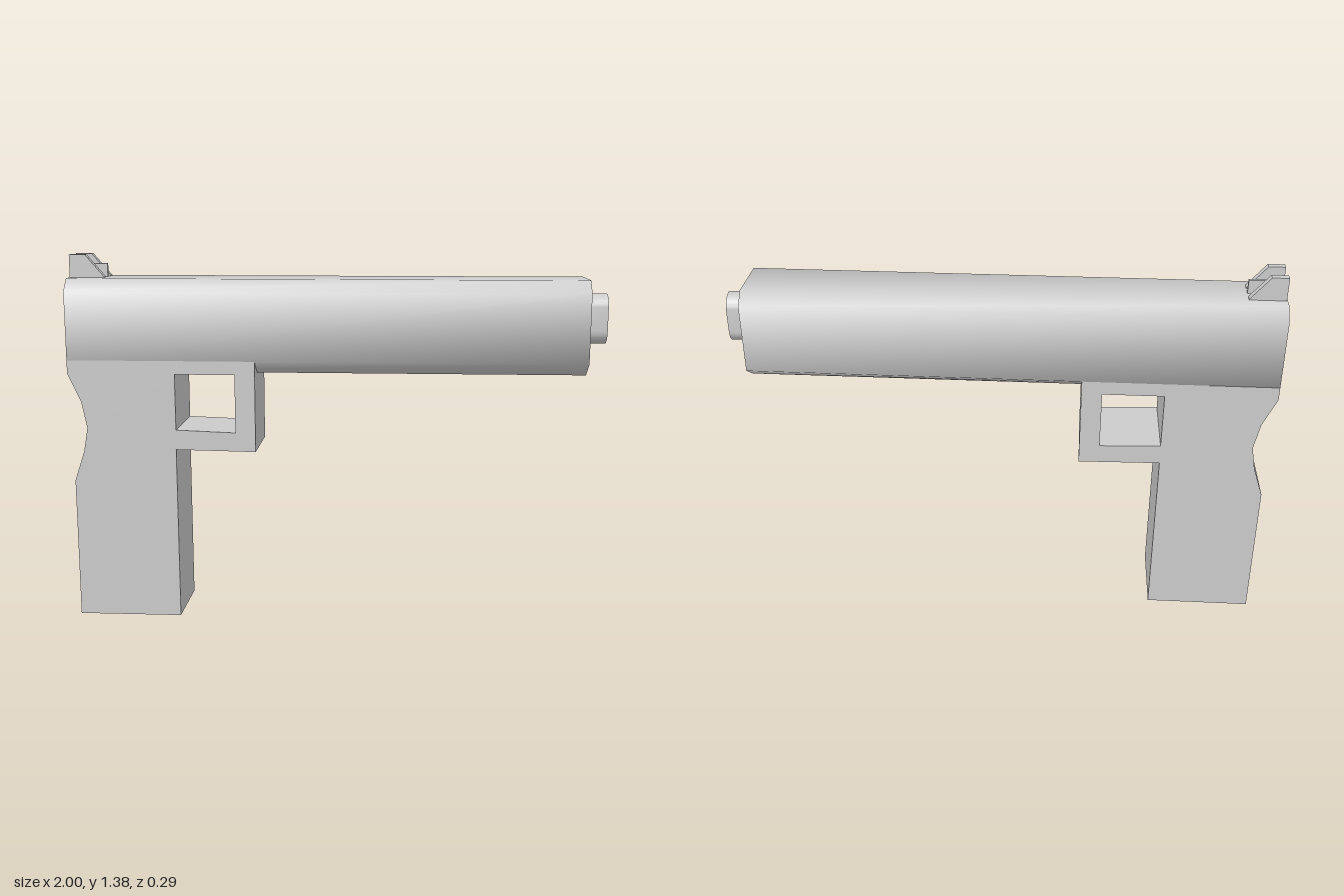
import * as THREE from 'three';
import { toCreasedNormals } from 'three/addons/utils/BufferGeometryUtils.js';

const material = new THREE.MeshStandardMaterial({ color: 0xcccccc, side: THREE.DoubleSide });
const HALF = 0.143;

const outline = (pts) => new THREE.Shape(pts.map(([a, b]) => new THREE.Vector2(a, b)));

function extrude(shape, depth) {
  return new THREE.ExtrudeGeometry(shape, { depth, bevelEnabled: false, curveSegments: 12 });
}

function addMesh(group, name, geometry, crease = 1.0) {
  const mesh = new THREE.Mesh(toCreasedNormals(geometry, crease), material);
  mesh.name = name;
  group.add(mesh);
}

// Side profile (x, y) given thickness across z
function sidePlate(shape, zMin, zMax) {
  return extrude(shape, zMax - zMin).translate(0, 0, zMin);
}

// Cross-section (z, y) swept along x
function sweepX(shape, xMin, xMax) {
  return extrude(shape, xMax - xMin).rotateY(Math.PI / 2).translate(xMin, 0, 0);
}

// Upright slot outline with round ends
function slot(path, r, yLow, yHigh) {
  path.moveTo(r, yLow + r);
  path.lineTo(r, yHigh - r);
  path.absarc(0, yHigh - r, r, 0, Math.PI, false);
  path.lineTo(-r, yLow + r);
  path.absarc(0, yLow + r, r, Math.PI, Math.PI * 2, false);
  return path;
}

export function createModel() {
  const model = new THREE.Group();
  model.name = 'model';

  // Upper body with chamfered edges
  const section = outline([
    [-0.07, 0.94], [0.07, 0.94], [HALF, 0.99], [HALF, 1.245],
    [0.1, 1.29], [-0.1, 1.29], [-HALF, 1.245], [-HALF, 0.99],
  ]);
  addMesh(model, 'upperBody', sweepX(section, -0.998, 0.925));

  // Grip and guard in one slab, with a window through the guard
  const frame = outline([
    [-0.985, 0], [-0.595, 0], [-0.595, 0.655], [-0.295, 0.65], [-0.295, 0.99],
    [-0.998, 0.99], [-0.998, 0.94], [-0.95, 0.835], [-0.93, 0.735], [-0.946, 0.645], [-0.985, 0.53],
  ]);
  frame.holes.push(outline([[-0.594, 0.73], [-0.594, 0.94], [-0.37, 0.94], [-0.37, 0.722]]));
  addMesh(model, 'gripAndGuard', sidePlate(frame, -HALF, HALF));

  // Hollow front tube
  const tube = slot(new THREE.Shape(), 0.053, 1.05, 1.235);
  tube.holes.push(slot(new THREE.Path(), 0.043, 1.06, 1.225));
  addMesh(model, 'frontTube', sweepX(tube, 0.92, 1.0));

  // Pair of rear sight plates and the thin blade between them
  const sight = outline([[-0.995, 1.285], [-0.865, 1.285], [-0.865, 1.293], [-0.935, 1.375], [-0.995, 1.375]]);
  addMesh(model, 'sightPlateLeft', sidePlate(sight, 0.035, 0.061), 0.3);
  addMesh(model, 'sightPlateRight', sidePlate(sight, -0.061, -0.035), 0.3);
  const blade = new THREE.BoxGeometry(0.125, 0.055, 0.012).translate(-0.9275, 1.3125, 0);
  addMesh(model, 'sightBlade', blade, 0.3);

  return model;
}
